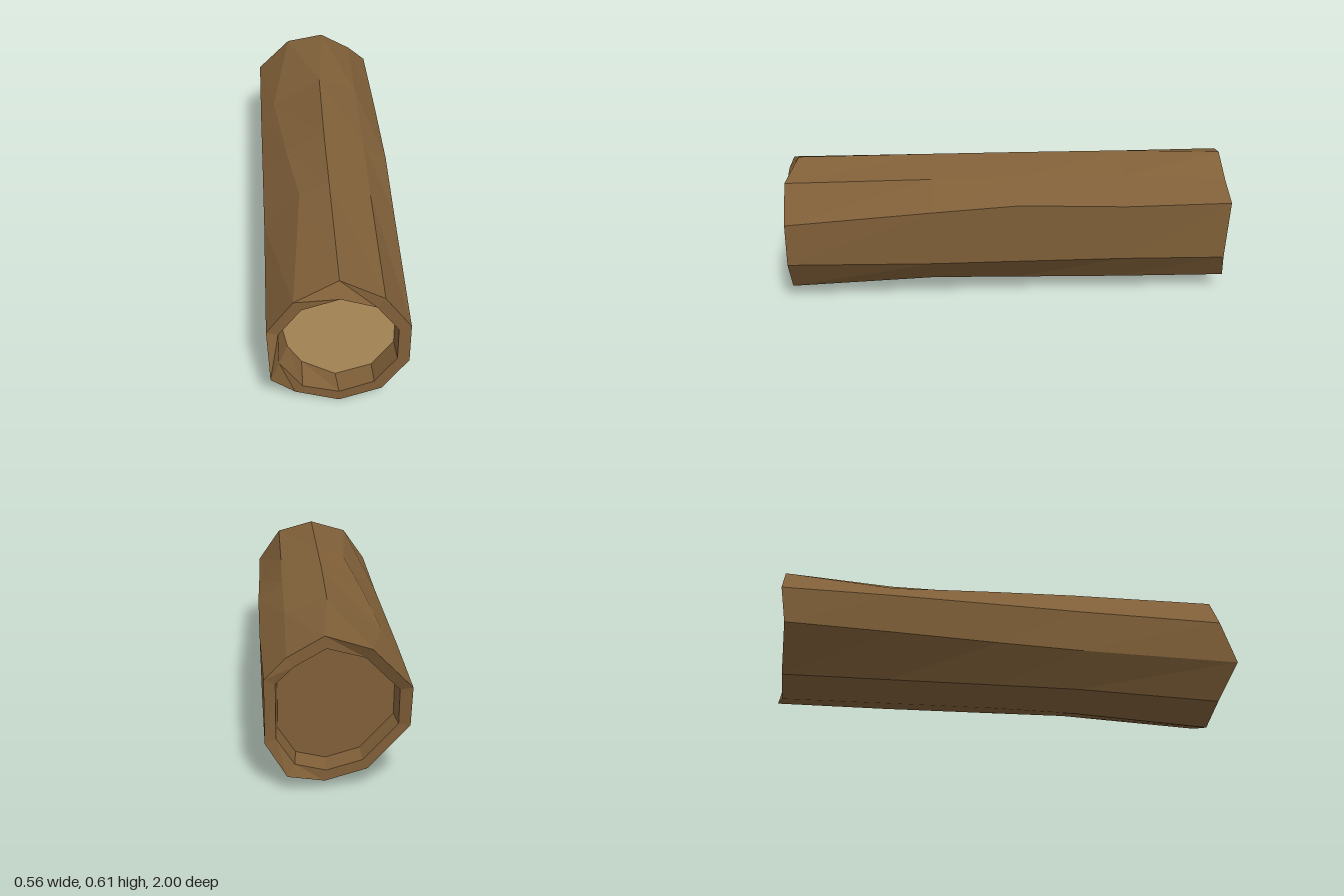
import * as THREE from 'three';

// Cross-sections of ten corners, listed clockwise from the top corner as seen from the front.
const FRONT = [[0, 0.605], [0.17, 0.547], [0.275, 0.395], [0.275, 0.21], [0.17, 0.058],
  [0, 0], [-0.175, 0.058], [-0.27, 0.21], [-0.28, 0.395], [-0.175, 0.545]];
const FRONT_THIRD = [[0, 0.607], [0.172, 0.552], [0.277, 0.44], [0.275, 0.2], [0.17, 0.083],
  [0, 0.03], [-0.17, 0.075], [-0.27, 0.215], [-0.277, 0.4], [-0.125, 0.562]];
const MIDDLE = [[0, 0.607], [0.175, 0.553], [0.28, 0.465], [0.272, 0.2], [0.17, 0.075],
  [0, 0.032], [-0.16, 0.075], [-0.27, 0.225], [-0.278, 0.405], [-0.17, 0.525]];
const BACK_THIRD = [[0.005, 0.607], [0.175, 0.55], [0.275, 0.447], [0.27, 0.2], [0.175, 0.068],
  [0.02, 0.033], [-0.14, 0.077], [-0.272, 0.24], [-0.28, 0.41], [-0.215, 0.48]];
const BACK = [[0.04, 0.605], [0.18, 0.525], [0.262, 0.447], [0.262, 0.19], [0.18, 0.065],
  [0.04, 0.033], [-0.12, 0.08], [-0.277, 0.25], [-0.28, 0.41], [-0.13, 0.56]];
const FRONT_LIP = [[0, 0.552], [0.14, 0.503], [0.227, 0.38], [0.227, 0.225], [0.14, 0.098],
  [0, 0.048], [-0.145, 0.09], [-0.235, 0.225], [-0.235, 0.38], [-0.145, 0.505]];
const FRONT_FLOOR = [[0, 0.546], [0.135, 0.5], [0.222, 0.378], [0.222, 0.225], [0.135, 0.102],
  [-0.01, 0.055], [-0.145, 0.135], [-0.2, 0.225], [-0.228, 0.38], [-0.145, 0.5]];

// Places a section at depth z, with optional depths for single corners
const ring = (section, z, special = {}) =>
  section.map(([x, y], i) => new THREE.Vector3(x, y, special[i] ?? z));

// Shrinks a section towards the log's axis
const shrink = (section, s) => section.map(([x, y]) => [x * s, 0.305 + (y - 0.305) * s]);

function meshFrom(name, triangles, material) {
  const geometry = new THREE.BufferGeometry().setFromPoints(triangles);
  geometry.computeVertexNormals();
  const mesh = new THREE.Mesh(geometry, material);
  mesh.name = name;
  return mesh;
}

// Skin running through successive rings
function skin(name, rings, material) {
  const tris = [];
  for (let r = 0; r < rings.length - 1; r++) {
    const a = rings[r], b = rings[r + 1];
    for (let i = 0; i < a.length; i++) {
      const j = (i + 1) % a.length;
      tris.push(a[i], a[j], b[i], a[j], b[j], b[i]);
    }
  }
  return meshFrom(name, tris, material);
}

// Flat disc closing a ring
function disc(name, points, facesFront, material) {
  const centre = new THREE.Vector3(0, 0.303, points[0].z);
  const tris = [];
  points.forEach((p, i) => {
    const q = points[(i + 1) % points.length];
    tris.push(centre, ...(facesFront ? [q, p] : [p, q]));
  });
  return meshFrom(name, tris, material);
}

export function createModel() {
  const bark = new THREE.MeshStandardMaterial({ color: 0x7f5f38, flatShading: true });
  bark.name = 'bark brown';
  const wood = new THREE.MeshStandardMaterial({ color: 0xb2915d, flatShading: true });
  wood.name = 'cut wood tan';

  const frontEdge = ring(FRONT, 0.93, { 0: 0.885, 7: 1.0 });
  const frontLip = ring(FRONT_LIP, 0.93);
  const frontFloor = ring(FRONT_FLOOR, 0.84);
  const backEdge = ring(BACK, -0.975, { 4: -1, 8: -1, 9: -1, 2: -0.99 });
  const backLip = ring(shrink(BACK, 0.84), -0.975);
  const backFloor = ring(shrink(BACK, 0.81), -0.88);

  const log = new THREE.Group();
  log.name = 'log';
  log.add(
    skin('bark', [frontEdge, ring(FRONT_THIRD, 0.3), ring(MIDDLE, -0.07), ring(BACK_THIRD, -0.53), backEdge], bark),
    skin('frontRim', [frontFloor, frontLip, frontEdge], bark),
    skin('backRim', [backEdge, backLip, backFloor], bark),
    disc('frontCut', frontFloor, true, wood),
    disc('backCut', backFloor, false, bark),
  );
  return log;
}
